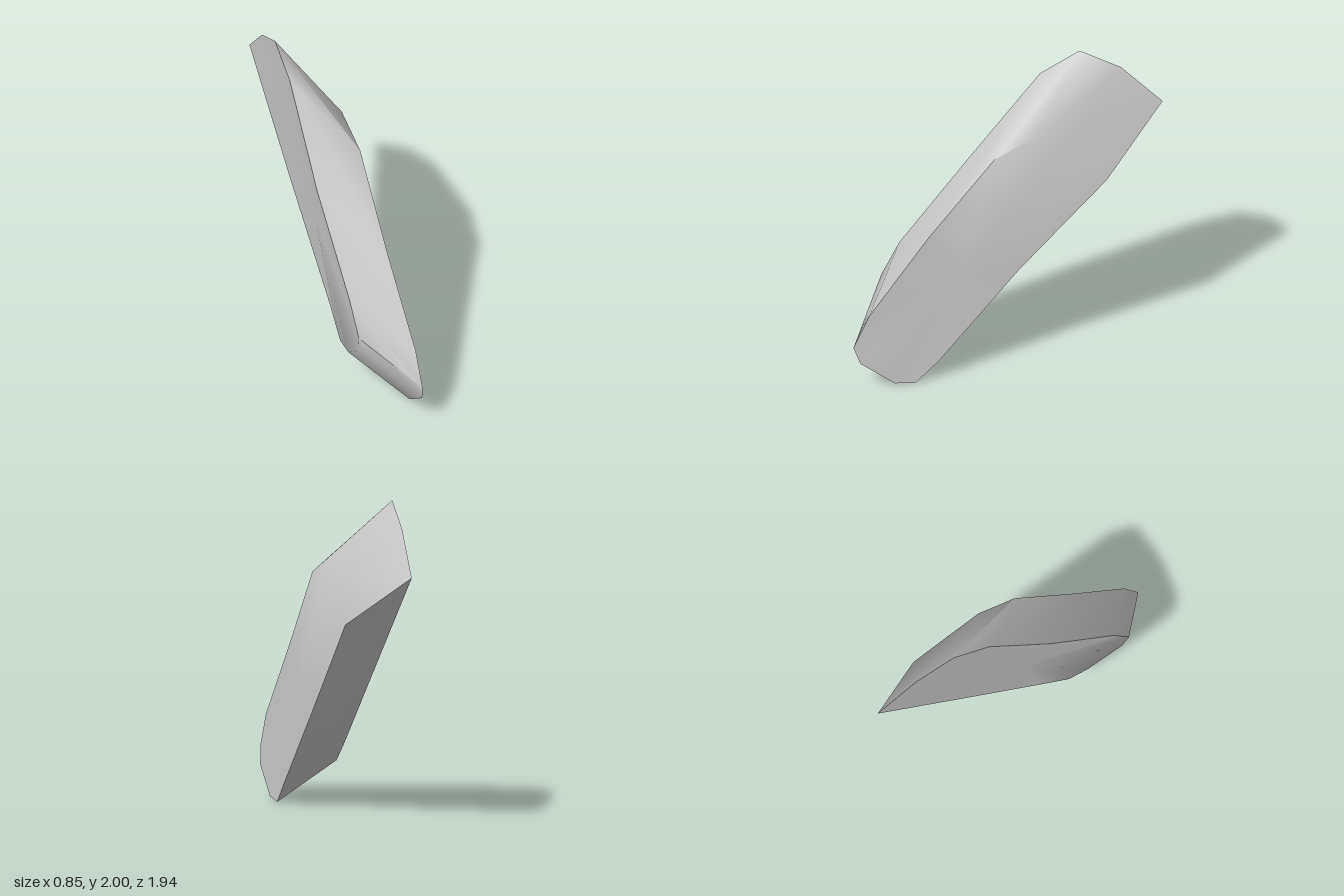
import * as THREE from 'three';
import { toCreasedNormals } from 'three/addons/utils/BufferGeometryUtils.js';

// Outer outline, counter-clockwise seen from +x, from the low front end to the top back end
const outer = [
  [-0.25, 0.29, 0.97], [-0.22, 0.18, 0.94], [-0.12, 0.015, 0.75], [-0.065, 0, 0.63],
  [0, 0.14, 0.5], [0.19, 0.7, 0.03], [0.42, 1.26, -0.47], [0.285, 1.51, -0.27],
  [0.2, 1.61, -0.09], [0.1, 1.49, 0.15], [-0.07, 1.0, 0.52], [-0.21, 0.5, 0.88],
];
// Matching inner outline, sheared up and back
const inner = [
  [-0.43, 0.59, 0.61], [-0.4, 0.46, 0.58], [-0.28, 0.285, 0.39], [-0.22, 0.28, 0.27],
  [-0.13, 0.41, 0.11], [0.09, 1.01, -0.42], [0.34, 1.595, -0.97], [0.21, 1.86, -0.75],
  [0.08, 2, -0.53], [-0.03, 1.87, -0.31], [-0.22, 1.34, 0.08], [-0.39, 0.8, 0.5],
];

const centre = (ring) => [0, 1, 2].map((k) => ring.reduce((s, p) => s + p[k], 0) / ring.length);

// Joins two matching rings with walls and closes both with a fan
function slabGeometry(a, b) {
  const n = a.length;
  const points = [...a, ...b, centre(a), centre(b)];
  const index = [];
  for (let i = 0; i < n; i++) {
    const j = (i + 1) % n;
    index.push(2 * n, i, j); // outer face
    index.push(2 * n + 1, n + j, n + i); // inner face
    index.push(j, i, n + i, j, n + i, n + j); // rim
  }
  const geometry = new THREE.BufferGeometry();
  geometry.setAttribute('position', new THREE.Float32BufferAttribute(points.flat(), 3));
  geometry.setIndex(index);
  return toCreasedNormals(geometry, THREE.MathUtils.degToRad(55));
}

export function createModel() {
  const group = new THREE.Group();
  group.name = 'slantedSlab';
  const slab = new THREE.Mesh(
    slabGeometry(outer, inner),
    new THREE.MeshStandardMaterial({ color: 0xcccccc }),
  );
  slab.name = 'slab';
  group.add(slab);
  return group;
}
